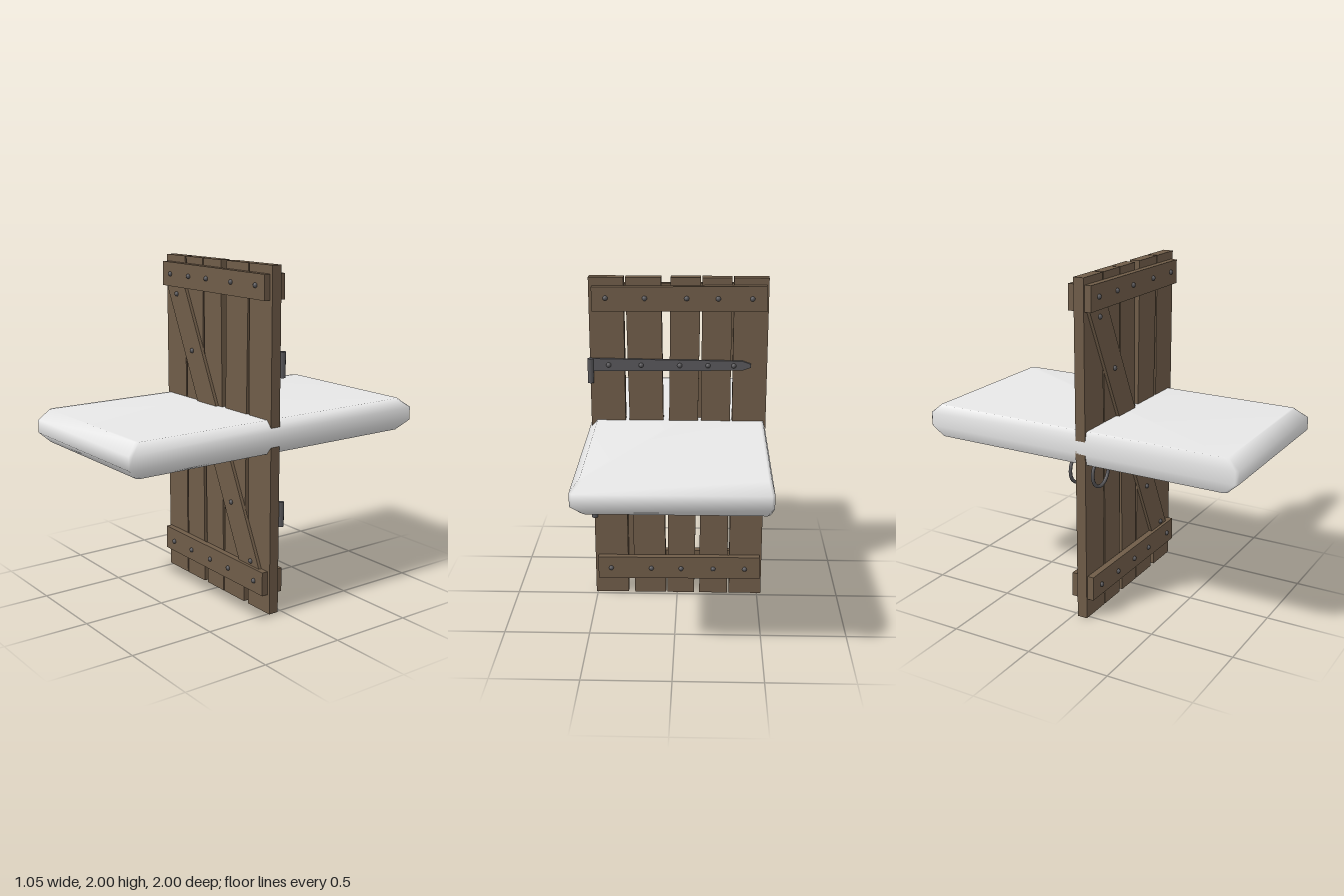
import * as THREE from 'three';

const wood = new THREE.MeshStandardMaterial({ color: 0x6f5c48 });
wood.name = 'brown wood';
const iron = new THREE.MeshStandardMaterial({ color: 0x58575a });
iron.name = 'dark iron';
const white = new THREE.MeshStandardMaterial({ color: 0xf0f0f0 });
white.name = 'white';

export function createModel() {
  const model = new THREE.Group();

  const add = (name, geometry, material, x = 0, y = 0, z = 0) => {
    const mesh = new THREE.Mesh(geometry, material);
    mesh.name = name;
    mesh.position.set(x, y, z);
    model.add(mesh);
    return mesh;
  };

  // Flat board: an outline in x and y, given thickness from z0 to z1
  const board = (name, points, z0, z1, material = wood) => {
    const shape = new THREE.Shape(points.map(([x, y]) => new THREE.Vector2(x, y)));
    const geometry = new THREE.ExtrudeGeometry(shape, { depth: z1 - z0, bevelEnabled: false });
    return add(name, geometry, material, 0, 0, z0);
  };

  // Domed nail head; dir is +1 for the front and -1 for the back
  const nailGeometry = new THREE.SphereGeometry(0.015, 10, 4, 0, Math.PI * 2, 0, Math.PI / 2);
  const nail = (x, y, z, dir) => {
    add('nail', nailGeometry, iron, x, y, z).rotation.x = dir * Math.PI / 2;
  };

  // Upright planks: bottom left, bottom right, top right, top left
  const planks = [
    [-0.525, -0.325, -0.325, -0.525],
    [-0.314, -0.139, -0.143, -0.314],
    [-0.106, 0.062, 0.038, -0.135],
    [0.07, 0.266, 0.297, 0.092],
    [0.306, 0.51, 0.51, 0.308],
  ];
  for (const [bl, br, tr, tl] of planks) {
    board('plank', [[bl, 0], [br, 0], [tr, 2], [tl, 2]], 0.025, 0.087);
  }

  // Cross battens with nails, on both faces
  const battens = [
    { low: 1.81, y: 1.888, nails: [-0.43, -0.235, -0.055, 0.185, 0.41] },
    { low: 0.115, y: 0.185, nails: [-0.42, -0.225, -0.025, 0.16, 0.41] },
  ];
  for (const { low, y, nails } of battens) {
    const outline = [[-0.515, low + 0.005], [0.49, low], [0.49, low + 0.142], [-0.512, low + 0.15]];
    board('frontBatten', outline, 0.087, 0.125);
    board('backBatten', outline, -0.016, 0.025);
    for (const x of nails) {
      nail(x, y, 0.125, 1);
      nail(x, y, -0.016, -1);
    }
  }

  // Diagonal brace on the front
  board('diagonalBrace', [[-0.497, 1.82], [0.243, 0.255], [0.434, 0.255], [-0.307, 1.82]], 0.087, 0.106);
  for (const [x, y] of [[-0.39, 1.77], [-0.23, 1.445], [0.165, 0.595], [0.355, 0.285]]) {
    nail(x, y, 0.106, 1);
  }

  // Strap hinges on the back
  for (const y of [1.488, 0.627]) {
    board('hingeStrap', [
      [0.5, y - 0.038], [0.5, y + 0.038], [-0.38, y + 0.028],
      [-0.43, y + 0.01], [-0.43, y - 0.01], [-0.38, y - 0.028],
    ], 0.008, 0.025, iron);
    add('hingeKnuckle', new THREE.CylinderGeometry(0.018, 0.018, 0.146, 10), iron, 0.506, y - 0.034, 0.008);
    for (const x of [0.4, 0.21, -0.015, -0.18, -0.33]) nail(x, y, 0.008, -1);
  }

  // Ring handle with its round plate and eye, on both faces
  for (const [face, dir] of [[0.087, 1], [0.025, -1]]) {
    const plate = add('handlePlate', new THREE.CylinderGeometry(0.06, 0.065, 0.015, 20), iron, -0.43, 0.99, face + dir * 0.0075);
    plate.rotation.x = dir * Math.PI / 2;
    const eye = add('handleEye', new THREE.TorusGeometry(0.028, 0.009, 6, 14), iron, -0.43, 0.975, face + dir * 0.025);
    eye.rotation.y = Math.PI / 2;
    add('ringHandle', new THREE.TorusGeometry(0.086, 0.01, 8, 32), iron, -0.43, 0.894, face + dir * 0.042);
  }

  add('slab', slabGeometry(), white);
  return model;
}

// Soft-edged slab: four stacked rings with cut corners, closed by caps
function slabGeometry() {
  const positions = [];
  const index = [];
  const levels = [[0.95, 1], [1.012, 0], [1.088, 0], [1.145, 1]];
  for (const [y, inset] of levels) {
    const l = -0.525 + 0.015 * inset;
    const r = 0.525 - 0.05 * inset;
    const e = 1 - 0.068 * inset;
    const c = 0.016;
    const ring = [
      [l + c, e], [r - c, e], [r, e - c], [r, c - e],
      [r - c, -e], [l + c, -e], [l, c - e], [l, e - c],
    ];
    for (const [x, z] of ring) positions.push(x, y, z);
  }
  for (let k = 0; k < 3; k++) {
    for (let i = 0; i < 8; i++) {
      const a = k * 8 + i;
      const b = k * 8 + (i + 1) % 8;
      index.push(a, b, b + 8, a, b + 8, a + 8);
    }
  }
  for (let i = 1; i < 7; i++) {
    index.push(0, i + 1, i, 24, 24 + i, 25 + i);
  }
  const geometry = new THREE.BufferGeometry();
  geometry.setAttribute('position', new THREE.Float32BufferAttribute(positions, 3));
  geometry.setIndex(index);
  geometry.computeVertexNormals();
  return geometry;
}
